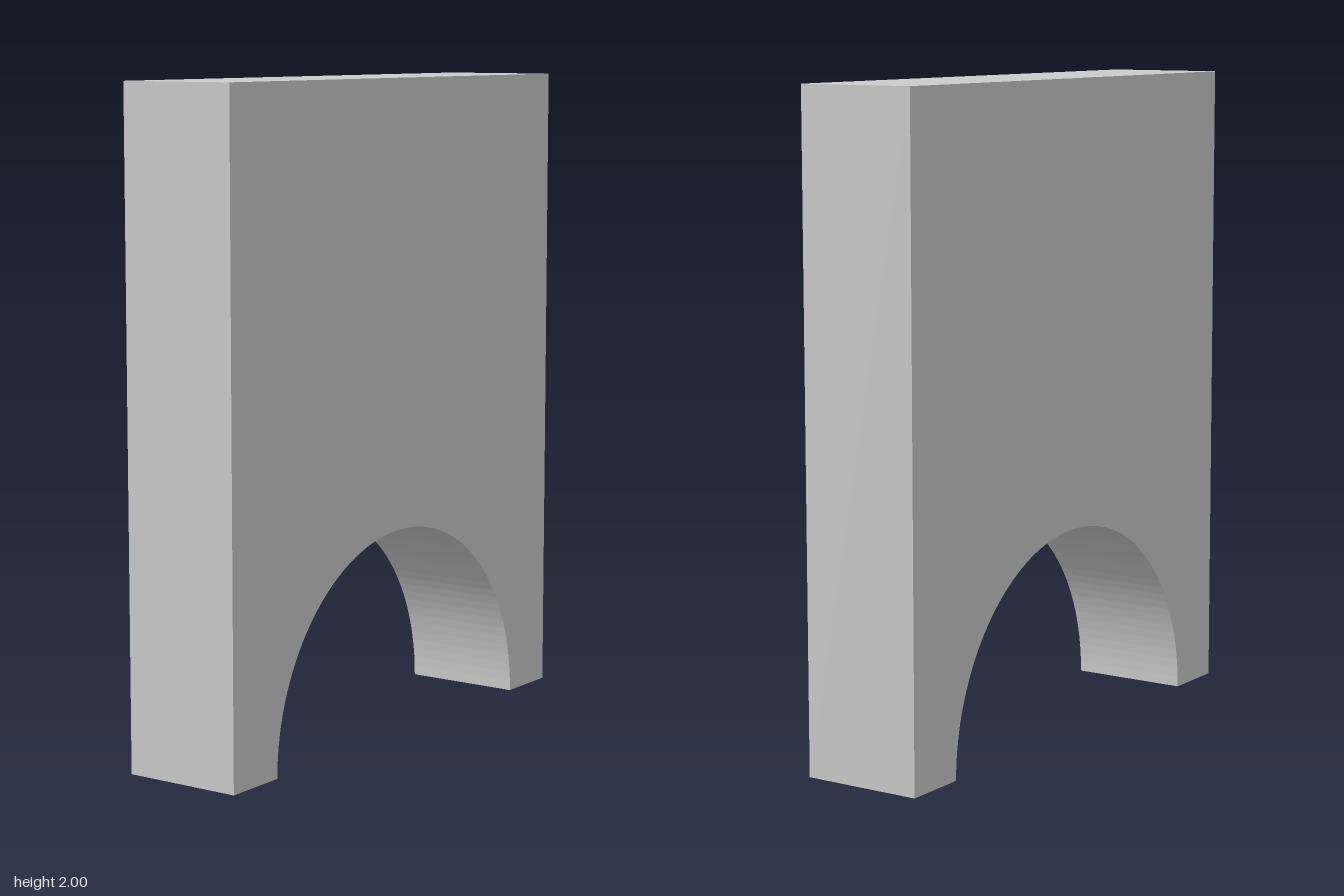
import * as THREE from 'three';

export function createModel() {
  const halfWidth = 0.84, height = 2, depth = 0.375, archRadius = 0.635;

  // Wall outline with a semicircular opening cut from the base
  const outline = new THREE.Shape();
  outline.moveTo(-halfWidth, 0);
  outline.lineTo(-archRadius, 0);
  outline.absarc(0, 0, archRadius, Math.PI, 0, true);
  outline.lineTo(halfWidth, 0);
  outline.lineTo(halfWidth, height);
  outline.lineTo(-halfWidth, height);
  outline.closePath();

  const geometry = new THREE.ExtrudeGeometry(outline, { depth, bevelEnabled: false, curveSegments: 32 });
  geometry.translate(0, 0, -depth / 2);

  const wall = new THREE.Mesh(
    geometry,
    new THREE.MeshStandardMaterial({ color: 0xcccccc, flatShading: true })
  );
  wall.name = 'archedWall';

  const model = new THREE.Group();
  model.name = 'archBlock';
  model.add(wall);
  return model;
}
